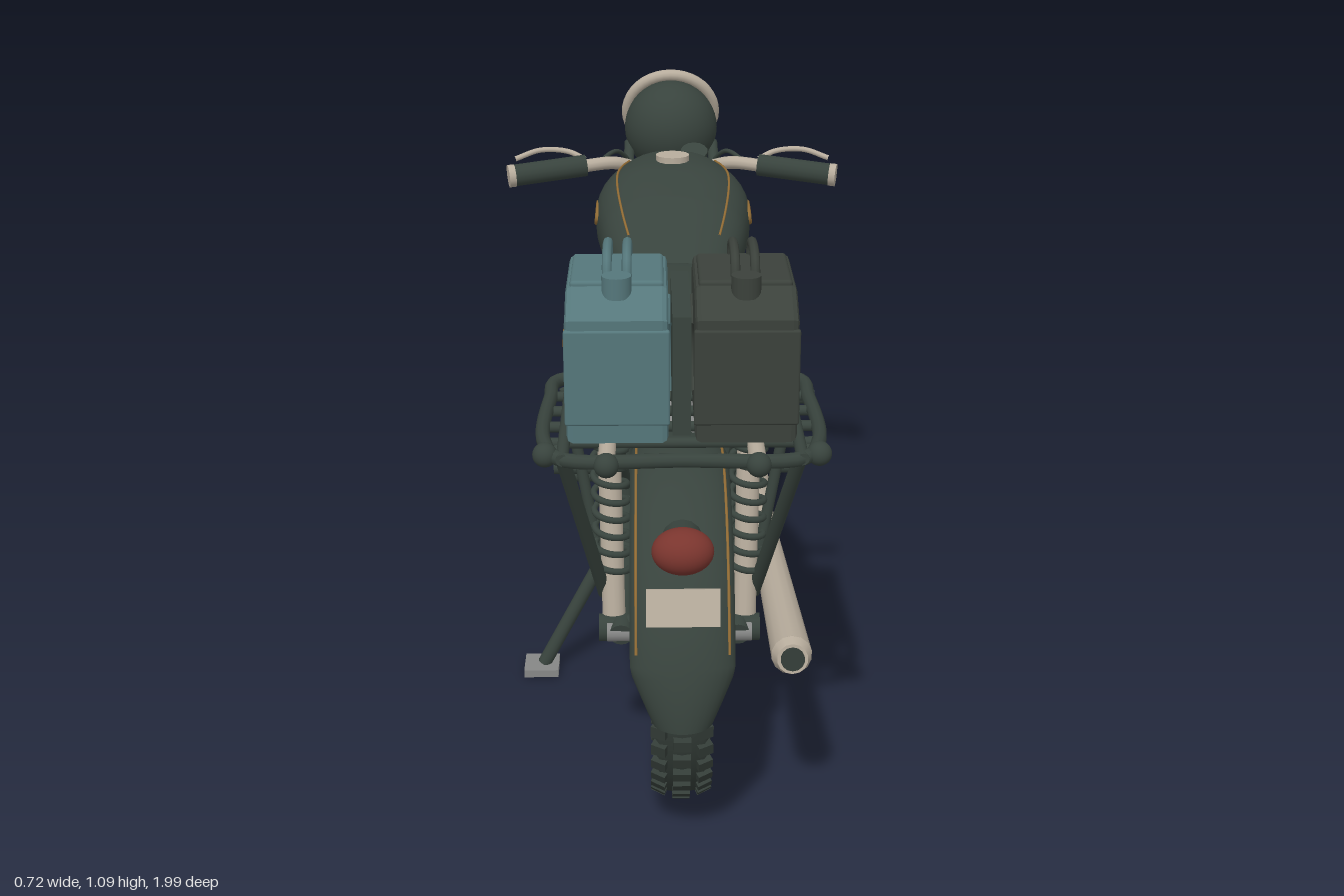
import * as THREE from 'three';
import { mergeGeometries } from 'three/addons/utils/BufferGeometryUtils.js';
import { ParametricGeometry } from 'three/addons/geometries/ParametricGeometry.js';
import { RoundedBoxGeometry } from 'three/addons/geometries/RoundedBoxGeometry.js';

const V = (x, y, z) => new THREE.Vector3(x, y, z);
const UP = V(0, 1, 0);

export function createModel() {
  const model = new THREE.Group();
  model.name = 'motorcycle';
  const mat = (name, color, side = THREE.FrontSide) => {
    const m = new THREE.MeshStandardMaterial({ color, side });
    m.name = name;
    return m;
  };
  const paint = mat('dark green paint', 0x38433d, THREE.DoubleSide);
  const rubber = mat('rubber', 0x333c37);
  const teal = mat('teal can', 0x55777b);
  const olive = mat('dark can', 0x3b413b);
  const cream = mat('cream metal', 0xb8ad9d);
  const steel = mat('grey steel', 0x868786);
  const red = mat('red glass', 0x7a352e);
  const gold = mat('gold trim', 0x8f6a34);
  const glass = mat('lamp glass', 0xc9b583);

  // Helpers
  const add = (name, geo, material, pos = [0, 0, 0], parent = model) => {
    const m = new THREE.Mesh(geo, material);
    m.name = name;
    m.position.set(...pos);
    parent.add(m);
    return m;
  };
  const rodGeo = (a, b, r, r2 = r, seg = 14) => {
    const A = V(...a), B = V(...b), d = B.clone().sub(A);
    const g = new THREE.CylinderGeometry(r2, r, d.length(), seg);
    g.applyQuaternion(new THREE.Quaternion().setFromUnitVectors(UP, d.normalize()));
    const c = A.add(B).multiplyScalar(0.5);
    return g.translate(c.x, c.y, c.z);
  };
  const rod = (name, a, b, r, m, r2) => add(name, rodGeo(a, b, r, r2), m);
  const tube = (name, pts, r, m, n = 40, closed = false) =>
    add(name, new THREE.TubeGeometry(new THREE.CatmullRomCurve3(pts.map(p => V(...p)), closed), n, r, 10, closed), m);
  const ball = (name, r, scale, m, pos) => {
    const b = add(name, new THREE.SphereGeometry(r, 32, 20), m, pos);
    b.scale.set(...scale);
    return b;
  };

  // Wheels: tyre, tread blocks, rim, hub and crossed spokes
  const lathe = pts => new THREE.LatheGeometry(pts.map(p => new THREE.Vector2(...p)), 56).rotateZ(Math.PI / 2);
  const wheel = (name, z) => {
    const g = new THREE.Group();
    g.name = name;
    g.position.set(0, 0.305, z);
    model.add(g);
    add('tyre', lathe([[0.21, -0.03], [0.235, -0.046], [0.26, -0.048], [0.277, -0.038], [0.284, 0],
      [0.277, 0.038], [0.26, 0.048], [0.235, 0.046], [0.21, 0.03]]), rubber, [0, 0, 0], g);
    add('rim', lathe([[0.2, -0.036], [0.217, -0.04], [0.217, 0.04], [0.2, 0.036], [0.193, 0], [0.2, -0.036]]), cream, [0, 0, 0], g);
    const blocks = [], spokes = [];
    for (let i = 0; i < 44; i++) {
      const a = i / 44 * Math.PI * 2;
      for (const s of [-1, 0, 1]) {
        const b = new THREE.BoxGeometry(s ? 0.026 : 0.03, 0.022, 0.022);
        b.rotateZ(-s * 0.45).translate(s * 0.036, s ? 0.273 : 0.283, 0);
        blocks.push(b.rotateX(a + (s ? 0 : Math.PI / 44)));
      }
    }
    for (let i = 0; i < 36; i++) {
      const a = i / 36 * Math.PI * 2, s = i % 2 ? 1 : -1, b = a + (i % 4 < 2 ? 0.7 : -0.7);
      spokes.push(rodGeo([s * 0.045, 0.045 * Math.sin(b), 0.045 * Math.cos(b)],
        [s * 0.008, 0.198 * Math.sin(a), 0.198 * Math.cos(a)], 0.003, 0.003, 5));
    }
    add('treadBlocks', mergeGeometries(blocks), rubber, [0, 0, 0], g);
    add('spokes', mergeGeometries(spokes), paint, [0, 0, 0], g);
    add('hub', rodGeo([-0.07, 0, 0], [0.07, 0, 0], 0.052, 0.052, 28), paint, [0, 0, 0], g);
    add('axle', rodGeo([-0.13, 0, 0], [0.13, 0, 0], 0.018), steel, [0, 0, 0], g);
    for (const s of [-1, 1])
      add('hubPlate', rodGeo([s * 0.07, 0, 0], [s * 0.082, 0, 0], 0.056, 0.048, 28), steel, [0, 0, 0], g);
  };
  wheel('frontWheel', -0.675);
  wheel('rearWheel', 0.636);

  // Mudguards: arched section swept around the wheel, with gold lines
  const guard = (name, cz, R, a0, a1, width) => {
    const at = (u, phi, lift, t) => {
      const a = a0 + (a1 - a0) * u, r = R + lift - 0.045 * (1 - Math.cos(phi));
      return t.set(width(a) * Math.sin(phi), 0.305 + r * Math.sin(a), cz + r * Math.cos(a));
    };
    add(name, new ParametricGeometry((u, v, t) => at(u, (v - 0.5) * 2.8, 0, t), 48, 14), paint);
    for (const s of [-1, 1]) {
      const line = Array.from({ length: 13 }, (_, i) => at(0.15 + i * 0.06, s * 1.05, 0.001, V()).toArray());
      tube(name + 'Line', line, 0.0025, gold);
    }
  };
  guard('rearMudguard', 0.636, 0.36, 0.02, 2.45, a => 0.047 + 0.04 * Math.min(1, a / 0.3));
  guard('frontMudguard', -0.675, 0.345, 0.4, 2.76, a => 0.067 - 0.03 * Math.max(0, (a - 2.5) / 0.26));

  // Tank and seat: rounded sections [z, half width, top, bottom] lofted along z
  const loft = (name, keys, m) => {
    const A = new THREE.CatmullRomCurve3(keys.map(k => V(k[0], k[1], 0)));
    const B = new THREE.CatmullRomCurve3(keys.map(k => V(k[2], k[3], 0)));
    const pow = c => Math.sign(c) * Math.abs(c) ** 0.8;
    const at = (u, phi, t, grow = 0) => {
      const a = A.getPoint(u), b = B.getPoint(u);
      return t.set((Math.max(a.y, 0.002) + grow) * pow(Math.cos(phi)),
        (b.x + b.y) / 2 + ((b.x - b.y) / 2 + grow) * pow(Math.sin(phi)), a.x);
    };
    add(name, new ParametricGeometry((u, v, t) => at(u, -v * Math.PI * 2, t), 48, 40), m);
    return (phi, u0, u1) => Array.from({ length: 12 }, (_, i) => at(u0 + (u1 - u0) * i / 11, phi, V(), 0.001).toArray());
  };
  const tankLine = loft('fuelTank', [[-0.45, 0.005, 0.87, 0.85], [-0.44, 0.07, 0.93, 0.78], [-0.36, 0.125, 0.953, 0.75],
    [-0.24, 0.163, 0.955, 0.735], [-0.1, 0.152, 0.918, 0.73], [0, 0.12, 0.855, 0.725],
    [0.08, 0.088, 0.8, 0.725], [0.1, 0.005, 0.765, 0.755]], paint);
  const seatLine = loft('seat', [[0.085, 0.005, 0.805, 0.795], [0.1, 0.085, 0.835, 0.775], [0.2, 0.12, 0.848, 0.768],
    [0.32, 0.153, 0.853, 0.765], [0.43, 0.15, 0.838, 0.765], [0.51, 0.1, 0.825, 0.77], [0.53, 0.005, 0.805, 0.795]], paint);
  for (const s of [0, 1]) {
    const side = phi => s ? phi : Math.PI - phi;
    tube('tankLine', tankLine(side(0.85), 0.3, 0.68), 0.0025, gold);
    tube('seatPiping', seatLine(side(0.3), 0.17, 0.83), 0.003, gold);
  }
  rod('fuelCap', [0, 0.945, -0.27], [0, 0.967, -0.27], 0.036, cream);

  // Headlamp
  ball('headlampShell', 0.106, [1, 1, 1], paint, [0, 0.963, -0.562]);
  const lamp = new THREE.Group();
  lamp.name = 'headlampFront';
  lamp.position.set(0, 0.983, -0.64);
  lamp.quaternion.setFromUnitVectors(V(0, 0, 1), V(0, 0.4, -0.917).normalize());
  model.add(lamp);
  add('headlampRing', new THREE.TorusGeometry(0.101, 0.013, 12, 40), cream, [0, 0, 0], lamp);
  add('headlampGlass', new THREE.SphereGeometry(0.098, 32, 16), glass, [0, 0, 0], lamp).scale.z = 0.16;

  // Engine
  ball('crankcase', 1, [0.12, 0.125, 0.175], steel, [0, 0.41, 0.02]);
  rod('engineDrum', [-0.13, 0.4, 0.02], [0.125, 0.4, 0.02], 0.1, steel);
  const cyl = t => [0, 0.47 + 0.21 * t, -0.07 - 0.065 * t];
  rod('cylinder', cyl(-0.2), cyl(1), 0.08, paint);
  for (let i = 0; i < 9; i++) rod('coolingFin', cyl(i / 9), cyl(i / 9 + 0.055), 0.102, paint);
  rod('cylinderHead', cyl(1), cyl(1.12), 0.098, paint, 0.06);
  rod('intake', [0.02, 0.6, -0.03], [0.04, 0.57, 0.14], 0.045, steel);
  rod('rightCaseCover', [0.1, 0.39, 0.1], [0.165, 0.39, 0.1], 0.06, paint, 0.054);
  rod('coverBolt', [0.16, 0.39, 0.1], [0.172, 0.39, 0.1], 0.018, steel);
  rod('leftCaseCover', [-0.11, 0.4, 0.0], [-0.165, 0.4, 0.0], 0.075, cream, 0.068);

  // Exhaust
  tube('exhaustPipe', [[0.04, 0.585, -0.16], [0.1, 0.585, -0.23], [0.15, 0.575, -0.29], [0.175, 0.53, -0.322], [0.18, 0.4, -0.315],
    [0.18, 0.335, -0.27], [0.18, 0.308, -0.17], [0.178, 0.308, 0.05], [0.176, 0.315, 0.2], [0.176, 0.325, 0.32]], 0.026, cream, 70);
  rod('muffler', [0.176, 0.322, 0.28], [0.182, 0.392, 0.88], 0.027, cream, 0.034);
  rod('mufflerTip', [0.182, 0.392, 0.88], [0.182, 0.395, 0.9], 0.034, cream, 0.026);
  rod('mufflerOutlet', [0.182, 0.395, 0.895], [0.182, 0.396, 0.905], 0.02, rubber);

  // Parts mirrored left and right
  for (const s of [-1, 1]) {
    const cover = ball('sideCover', 1, [0.035, 0.105, 0.165], paint, [s * 0.12, 0.635, 0.22]);
    cover.rotation.x = 0.2;
    const badge = add('tankRing', new THREE.TorusGeometry(0.05, 0.006, 8, 32).scale(1, 0.42, 1).rotateY(Math.PI / 2), gold, [s * 0.16, 0.855, -0.21]);
    badge.rotation.z = s * 0.1;

    // Frame
    rod('topRail', [s * 0.06, 0.76, -0.45], [s * 0.11, 0.73, 0.1], 0.018, paint);
    rod('seatRail', [s * 0.11, 0.73, 0.1], [s * 0.13, 0.735, 0.6], 0.016, paint);
    rod('downTube', [s * 0.03, 0.77, -0.46], [s * 0.085, 0.3, -0.27], 0.019, paint);
    rod('cradle', [s * 0.085, 0.29, -0.28], [s * 0.1, 0.29, 0.18], 0.018, paint);
    rod('cradleRise', [s * 0.1, 0.29, 0.18], [s * 0.11, 0.37, 0.4], 0.017, paint);
    rod('seatTube', [s * 0.1, 0.74, 0.23], [s * 0.1, 0.3, 0.23], 0.018, paint);
    rod('swingArm', [s * 0.1, 0.38, 0.25], [s * 0.105, 0.305, 0.65], 0.022, paint);
    rod('rearFrameStay', [s * 0.1, 0.42, 0.24], [s * 0.125, 0.72, 0.55], 0.012, paint);

    // Rear suspension
    const lo = V(s * 0.118, 0.33, 0.612), hi = V(s * 0.126, 0.745, 0.545);
    rod('shockBody', lo.toArray(), hi.toArray(), 0.021, cream);
    const coil = Array.from({ length: 97 }, (_, i) => {
      const a = i / 12 * Math.PI * 2, p = lo.clone().lerp(hi, 0.2 + 0.6 * i / 96);
      return [p.x + 0.03 * Math.cos(a), p.y, p.z + 0.03 * Math.sin(a)];
    });
    tube('shockSpring', coil, 0.006, paint, 190);
    rod('shockMount', [s * 0.09, 0.305, 0.62], [s * 0.145, 0.305, 0.62], 0.025, paint);

    // Front fork
    rod('forkLower', [s * 0.1, 0.285, -0.69], [s * 0.1, 0.65, -0.52], 0.031, steel);
    rod('forkUpper', [s * 0.1, 0.65, -0.52], [s * 0.1, 0.89, -0.407], 0.021, cream);
    for (let i = 0; i < 6; i++)
      rod('forkBoot', [s * 0.1, 0.65 + i * 0.016, -0.52 + i * 0.0075], [s * 0.1, 0.66 + i * 0.016, -0.515 + i * 0.0075], 0.032, paint, 0.025);
    rod('headlampBracket', [s * 0.1, 0.85, -0.43], [s * 0.095, 0.93, -0.55], 0.012, paint);

    // Handlebar, grip and lever
    tube('handlebar', [[0, 0.9, -0.41], [s * 0.07, 0.905, -0.405], [s * 0.13, 0.925, -0.37], [s * 0.21, 0.922, -0.343]], 0.014, cream);
    rod('grip', [s * 0.19, 0.925, -0.347], [s * 0.345, 0.912, -0.31], 0.024, paint);
    rod('gripEnd', [s * 0.343, 0.912, -0.31], [s * 0.357, 0.911, -0.307], 0.025, cream);
    tube('lever', [[s * 0.19, 0.935, -0.36], [s * 0.23, 0.95, -0.375], [s * 0.29, 0.953, -0.375], [s * 0.345, 0.938, -0.355]], 0.006, cream);
    tube('cable', [[s * 0.17, 0.92, -0.37], [s * 0.12, 0.93, -0.46], [s * 0.08, 0.85, -0.53], [s * 0.085, 0.7, -0.565], [s * 0.09, 0.58, -0.565]], 0.005, paint);

    rod('footPeg', [s * 0.1, 0.398, 0.1], [s * 0.25, 0.398, 0.1], 0.016, paint);

    // Rack supports
    rod('rackStrut', [s * 0.2, 0.745, 0.82], [s * 0.135, 0.36, 0.59], 0.012, paint);
    rod('rackStay', [s * 0.2, 0.745, 0.56], [s * 0.13, 0.35, 0.58], 0.01, paint);
    rod('rackRunner', [s * 0.12, 0.74, 0.5], [s * 0.12, 0.745, 0.91], 0.014, cream);
    rod('rackSideBar', [s * 0.19, 0.752, 0.54], [s * 0.19, 0.752, 0.9], 0.01, paint);
    ball('rackKnob', 0.02, [1, 1, 1], paint, [s * 0.218, 0.752, 0.875]);
    ball('rackRunnerKnob', 0.02, [1, 1, 1], paint, [s * 0.12, 0.748, 0.91]);
  }
  rod('headTube', [0, 0.72, -0.46], [0, 0.91, -0.4], 0.034, paint);
  rod('upperYoke', [-0.115, 0.87, -0.417], [0.115, 0.87, -0.417], 0.025, paint);
  rod('lowerYoke', [-0.115, 0.75, -0.473], [0.115, 0.75, -0.473], 0.027, paint);
  rod('speedDial', [0.05, 0.9, -0.42], [0.05, 0.945, -0.4], 0.03, paint);
  rod('swingPivot', [-0.13, 0.37, 0.39], [0.13, 0.37, 0.39], 0.018, paint);
  rod('rearCrossTube', [-0.2, 0.73, 0.39], [0.2, 0.73, 0.39], 0.013, paint);

  // Rack
  tube('rackFrame', [[-0.21, 0.75, 0.53], [-0.222, 0.75, 0.62], [-0.222, 0.75, 0.82], [-0.19, 0.75, 0.89], [0, 0.75, 0.895],
    [0.19, 0.75, 0.89], [0.222, 0.75, 0.82], [0.222, 0.75, 0.62], [0.21, 0.75, 0.53], [0, 0.75, 0.53]], 0.012, paint, 90, true);
  for (const z of [0.6, 0.67, 0.74, 0.81]) rod('rackSlat', [-0.22, 0.745, z], [0.22, 0.745, z], 0.009, paint);

  // Fuel cans: chamfered outline extruded across x
  const outline = new THREE.Shape([[0.128, 0], [0.128, 0.19], [0.07, 0.222], [-0.1, 0.222], [-0.128, 0.195], [-0.128, 0]]
    .map(p => new THREE.Vector2(-p[0], p[1])));
  for (const [s, m] of [[-1, teal], [1, olive]]) {
    const can = new THREE.Group();
    can.name = s < 0 ? 'leftSideCan' : 'rightSideCan';
    can.position.set(s * 0.103, 0.768, 0.705);
    model.add(can);
    const body = new THREE.ExtrudeGeometry(outline, { depth: 0.144, bevelEnabled: true, bevelThickness: 0.01, bevelSize: 0.01, bevelSegments: 2 });
    body.translate(0, 0, -0.072).rotateY(Math.PI / 2);
    add('canBody', body, m, [0, 0, 0], can);
    add('canSeam', new RoundedBoxGeometry(0.168, 0.16, 0.012, 2, 0.004), m, [0, 0.1, 0.135], can);
    add('canTop', new RoundedBoxGeometry(0.15, 0.02, 0.16, 2, 0.006), m, [0, 0.23, -0.01], can);
    for (const x of [-0.016, 0.016]) {
      const bar = new THREE.CatmullRomCurve3([V(x, 0.23, -0.085), V(x, 0.262, -0.075), V(x, 0.264, 0.03), V(x, 0.23, 0.05)]);
      add('canHandle', new THREE.TubeGeometry(bar, 20, 0.008, 8), m, [0, 0, 0], can);
    }
    add('canCap', new THREE.CylinderGeometry(0.024, 0.024, 0.035, 20), m, [0, 0.235, 0.078], can);
    for (const x of [-1, 1]) for (const z of [-1, 1]) {
      const arc = new THREE.TorusGeometry(0.065, 0.006, 6, 20, Math.PI * 0.8).rotateZ(Math.PI * 0.1 + (z > 0 ? Math.PI / 2 : -Math.PI / 2));
      add('canRib', arc.rotateY(-Math.PI / 2), m, [x * 0.082, 0.11, z * 0.085], can);
    }
    add('canBuckle', new THREE.BoxGeometry(0.006, 0.03, 0.03), gold, [s * 0.084, 0.14, 0.07], can);
  }
  add('canStrap', new THREE.BoxGeometry(0.03, 0.2, 0.25), paint, [0, 0.865, 0.705]);

  // Tail lamp and plate
  ball('tailLamp', 1, [0.05, 0.038, 0.04], red, [0, 0.608, 0.93]);
  rod('tailLampBase', [0, 0.6, 0.87], [0, 0.608, 0.93], 0.034, paint);
  const plate = add('rearPlate', new THREE.BoxGeometry(0.118, 0.06, 0.008), cream, [0, 0.527, 0.968]);
  plate.rotation.x = -0.35;

  // Kick starter, gear pedal and side stand
  rod('kickArm', [0.165, 0.41, 0.1], [0.218, 0.565, 0.14], 0.012, steel);
  rod('kickPedal', [0.205, 0.565, 0.14], [0.28, 0.565, 0.14], 0.014, paint);
  rod('gearArm', [-0.15, 0.39, 0.08], [-0.195, 0.5, -0.04], 0.008, steel);
  rod('gearPedal', [-0.13, 0.372, 0.08], [-0.212, 0.372, 0.08], 0.016, paint);
  rod('sideStand', [-0.1, 0.33, 0.2], [-0.272, 0.015, 0.235], 0.014, paint);
  add('standFoot', new THREE.BoxGeometry(0.07, 0.016, 0.07), steel, [-0.277, 0.008, 0.235]);
  return model;
}
